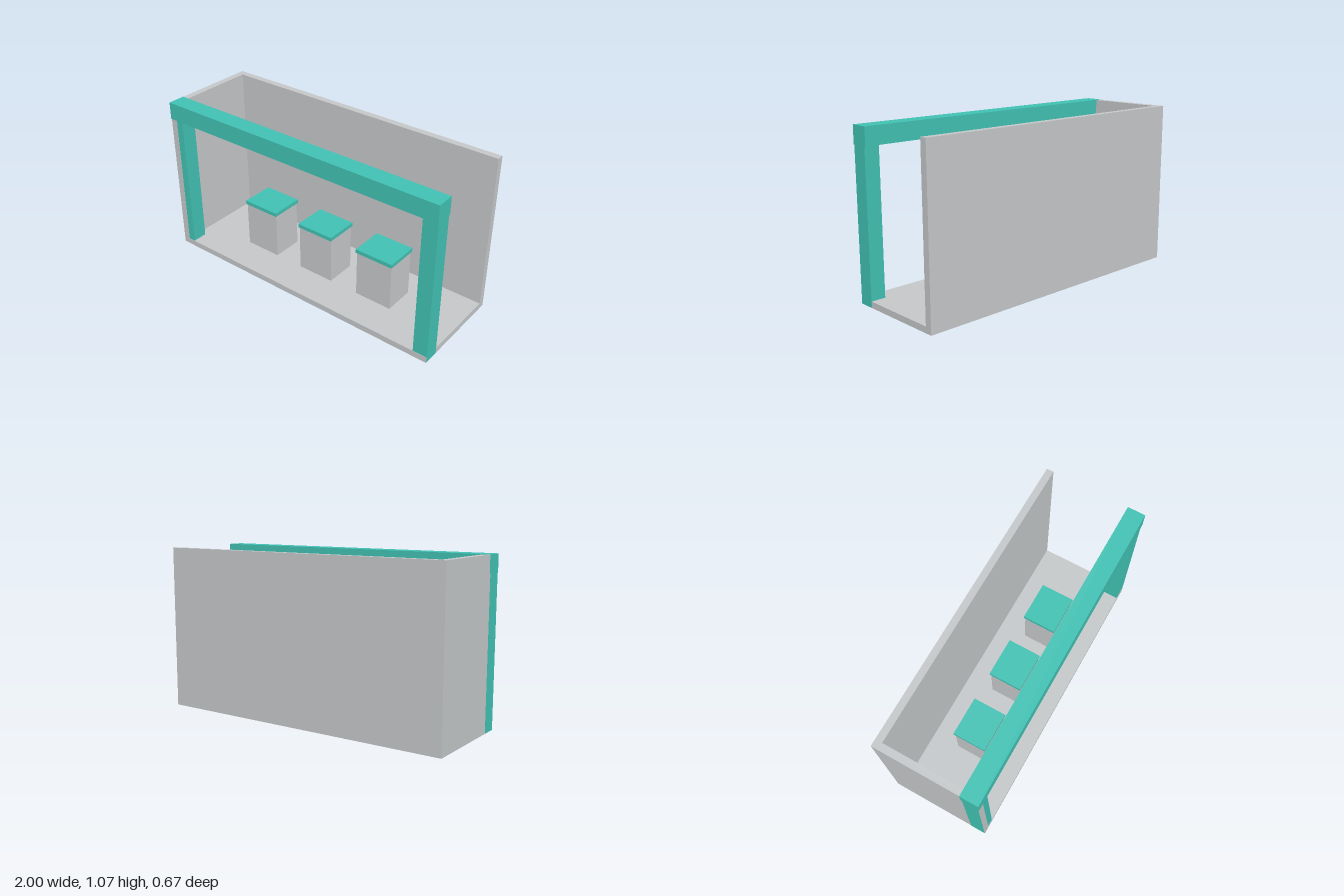
import * as THREE from 'three';

export function createModel() {
  const model = new THREE.Group();
  const grey = new THREE.MeshStandardMaterial({ name: 'grey', color: 0xc4c7c9 });
  const teal = new THREE.MeshStandardMaterial({ name: 'teal', color: 0x41c1b3 });

  // Box given by its extents on each axis
  function block(name, material, [x0, x1], [y0, y1], [z0, z1], parent = model) {
    const mesh = new THREE.Mesh(new THREE.BoxGeometry(x1 - x0, y1 - y0, z1 - z0), material);
    mesh.name = name;
    mesh.position.set((x0 + x1) / 2, (y0 + y1) / 2, (z0 + z1) / 2);
    parent.add(mesh);
  }

  // Booth shell: floor, back wall and one side wall
  const floorTop = 0.04;
  const height = 1.068;
  block('floor', grey, [-1, 1], [0, floorTop], [-0.335, 0.333]);
  block('backWall', grey, [-1, 1], [floorTop, height], [-0.335, -0.29]);
  block('sideWall', grey, [-1, -0.955], [floorTop, height], [-0.29, 0.333]);

  // Front frame: posts and beam stand a hair proud of the shell
  const edge = 1.001;
  block('rightPost', teal, [-edge, -0.905], [0.001, 0.955], [0.229, 0.331]);
  block('leftPost', teal, [0.905, edge], [0.001, 0.955], [0.229, 0.331]);
  block('frontBeam', teal, [-edge, edge], [0.955, height + 0.001], [0.22, 0.337]);

  // Three display plinths with overhanging tops
  for (const x of [-0.462, -0.002, 0.458]) {
    const plinth = new THREE.Group();
    plinth.name = 'plinth';
    plinth.position.set(x, 0, -0.002);
    block('plinthBody', grey, [-0.128, 0.128], [floorTop, 0.355], [-0.105, 0.105], plinth);
    block('plinthTop', teal, [-0.133, 0.133], [0.355, 0.381], [-0.113, 0.113], plinth);
    model.add(plinth);
  }

  return model;
}
